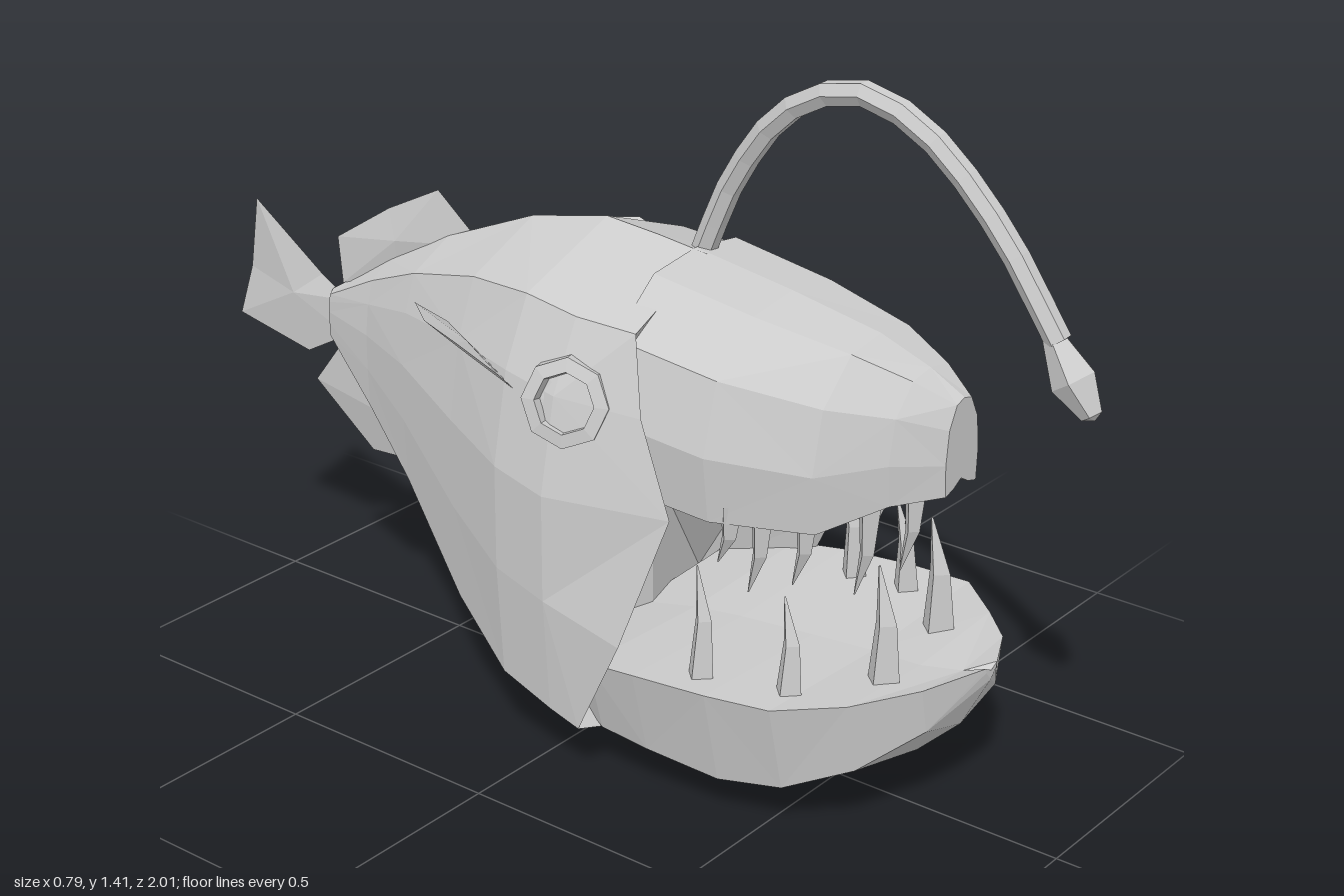
import * as THREE from 'three';

const mat = new THREE.MeshStandardMaterial({ color: 0xcccccc, flatShading: true, side: THREE.DoubleSide });
const V = (x, y, z) => new THREE.Vector3(x, y, z);

function meshFrom(name, tris) {
  const g = new THREE.BufferGeometry().setFromPoints(tris);
  g.computeVertexNormals();
  const m = new THREE.Mesh(g, mat);
  m.name = name;
  return m;
}

const centroid = (pts) => pts.reduce((s, p) => s.add(p), V(0, 0, 0)).divideScalar(pts.length);

// Skin rings running back to front, each counter-clockwise seen from +z
function loft(name, rings) {
  const tris = [], n = rings[0].length, last = rings[rings.length - 1];
  const back = centroid(rings[0]), front = centroid(last);
  for (let i = 0; i < n; i++) {
    const k = (i + 1) % n;
    for (let j = 0; j < rings.length - 1; j++) {
      const a = rings[j][i], b = rings[j][k], c = rings[j + 1][k], d = rings[j + 1][i];
      if ((i + j) % 2) tris.push(a, b, c, a, c, d);
      else tris.push(a, b, d, b, c, d);
    }
    tris.push(back, rings[0][k], rings[0][i], front, last[i], last[k]);
  }
  return meshFrom(name, tris);
}

// Mirror a half section (top centre to bottom centre) into a full ring
function fullRing(half, cx) {
  const right = half.slice(1, -1).reverse();
  const left = half.slice(1, -1).map((p) => V(-p.x, p.y, p.z));
  return [half[half.length - 1], ...right, half[0], ...left].map((p) => V(p.x + cx, p.y, p.z));
}

const sectionRing = (shape, [z, cx, hw, top, bot]) =>
  fullRing(shape.map(([fx, fy]) => V(fx * hw, bot + fy * (top - bot), z)), cx);

// Thin fin: outline fanned to a slightly raised middle on both faces
function fin(name, pts, bulge = 0.01) {
  const p = pts.map((q) => V(...q)), c = centroid(p), tris = [];
  const n = p[0].clone().sub(c).cross(p[2].clone().sub(c)).normalize().multiplyScalar(bulge);
  const up = c.clone().add(n), down = c.clone().sub(n);
  p.forEach((a, i) => {
    const b = p[(i + 1) % p.length];
    tris.push(up, a, b, down, b, a);
  });
  return meshFrom(name, tris);
}

// Four-sided tapered tooth with a slight backward bend
function tooth(name, base, tip, r) {
  const mid = base.clone().lerp(tip, 0.55).add(V(0, 0, 0.012));
  const curve = [base, mid, tip], tris = [];
  const rings = curve.map((c, j) => [0, 1, 2, 3].map((i) => {
    const a = i * Math.PI / 2, s = r * [1, 0.62, 0.06][j];
    return V(c.x + Math.cos(a) * s, c.y, c.z + Math.sin(a) * s);
  }));
  const flip = tip.y < base.y;
  for (let j = 0; j < 2; j++) for (let i = 0; i < 4; i++) {
    const k = (i + 1) % 4, a = rings[j][i], b = rings[j][k], c = rings[j + 1][k], d = rings[j + 1][i];
    if (flip) tris.push(a, b, c, a, c, d);
    else tris.push(a, c, b, a, d, c);
  }
  return meshFrom(name, tris);
}

const lathe = (name, profile, sides) => {
  const m = new THREE.Mesh(new THREE.LatheGeometry(profile.map(([r, y]) => new THREE.Vector2(r, y)), sides), mat);
  m.name = name;
  return m;
};

export function createModel() {
  const model = new THREE.Group();
  model.name = 'anglerFish';

  // Body, narrowing to the tail, with a hollow throat at the front
  const bodyShape = [[0, 1], [0.7, 0.905], [0.89, 0.76], [1, 0.56], [1, 0.33], [0.95, 0.08], [0, 0]];
  const bodyRings = [
    [-0.74, -0.1, 0.015, 0.76, 0.65],
    [-0.6, -0.075, 0.075, 0.85, 0.52],
    [-0.45, -0.055, 0.15, 0.93, 0.4],
    [-0.25, -0.025, 0.255, 1.01, 0.2],
    [-0.08, 0, 0.345, 1.04, 0.1],
    [0.05, 0, 0.36, 1.03, 0.065],
  ].map((s) => sectionRing(bodyShape, s));
  const rim = [
    V(0, 1.015, 0.16), V(0.24, 0.93, 0.18), V(0.275, 0.78, 0.22),
    V(0.29, 0.6, 0.3), V(0.345, 0.33, 0.22), V(0.345, 0.12, 0.12), V(0, 0.035, 0.2),
  ];
  const shrink = (sx, sy, dz) => rim.map((p) => V(p.x * sx, 0.47 + (p.y - 0.47) * sy, p.z - dz));
  bodyRings.push(fullRing(rim, 0.005), fullRing(shrink(0.92, 0.93, 0.02), 0.005), fullRing(shrink(0.75, 0.8, 0.17), 0.005));
  model.add(loft('body', bodyRings));

  // Upper jaw and snout
  const headShape = [[0, 1], [0.45, 0.96], [0.86, 0.72], [1, 0.35], [0.94, 0], [0.45, 0.04], [0, 0.12]];
  model.add(loft('upperJaw', [
    [0.13, 0.01, 0.285, 1.02, 0.62],
    [0.35, 0.025, 0.275, 0.98, 0.595],
    [0.53, 0.055, 0.21, 0.93, 0.588],
    [0.63, 0.075, 0.13, 0.88, 0.64],
    [0.7, 0.085, 0.055, 0.835, 0.65],
  ].map((s) => sectionRing(headShape, s))));

  // Lower jaw, rooted inside the body: rim, shallow floor, bevelled sides and keel
  model.add(loft('lowerJaw', [
    [0.0, -0.3, 0.3, 0.24, 0.18, 0.13],
    [0.14, -0.335, 0.345, 0.27, 0.11, 0.05],
    [0.25, -0.335, 0.365, 0.28, 0.1, 0.025],
    [0.41, -0.32, 0.385, 0.285, 0.085, 0.005],
    [0.54, -0.29, 0.392, 0.285, 0.1, 0.04],
    [0.66, -0.21, 0.28, 0.3, 0.15, 0.1],
    [0.74, -0.08, 0.2, 0.305, 0.21, 0.175],
    [0.79, 0.06, 0.1, 0.31, 0.3, 0.28],
  ].map(([z, l, r, y, mid, keel]) => {
    const c = (l + r) / 2;
    return [V(r, y, z), V(c, y - 0.015, z), V(l, y, z),
      V(c + (l - c) * 0.87, mid, z), V(c, keel, z), V(c + (r - c) * 0.87, mid, z)];
  })));

  // Teeth: x, z, tip height, radius
  [[-0.2, 0.52, 0.47, 0.03], [-0.06, 0.64, 0.52, 0.038], [0.19, 0.6, 0.52, 0.038], [0.3, 0.45, 0.48, 0.03],
    [-0.25, 0.35, 0.5, 0.03], [0.29, 0.33, 0.49, 0.03]]
    .forEach(([x, z, y, r]) => model.add(tooth('lowerTooth', V(x, 0.27, z), V(x * 0.95, y, z - 0.02), r)));
  [[-0.2, 0.38, 0.5], [-0.17, 0.43, 0.44], [-0.125, 0.5, 0.46], [-0.02, 0.57, 0.42], [0.12, 0.58, 0.42],
    [0.21, 0.53, 0.47], [0.25, 0.44, 0.44], [0.27, 0.36, 0.49]]
    .forEach(([x, z, y]) => model.add(tooth('upperTooth', V(x, 0.63, z), V(x, y, z - 0.03), 0.026)));

  // Eyes: eight-sided flat rim around a recessed disc
  for (const s of [1, -1]) {
    const eye = new THREE.Group();
    eye.name = s > 0 ? 'leftEye' : 'rightEye';
    const socket = lathe('eyeSocket', [[0.092, -0.04], [0.088, 0.005], [0.06, 0.01], [0.056, -0.012], [0, -0.006]].reverse(), 8);
    socket.rotation.x = Math.PI / 2;
    eye.add(socket);
    eye.position.set(s * 0.315, 0.79, 0.075);
    eye.lookAt(s * 1.215, 1.0, 0.4);
    model.add(eye);
  }

  // Pectoral fins rising outward, the right one set a little further forward
  const pectoral = [[0.27, 0.77, -0.13], [0.31, 0.81, -0.13], [0.35, 0.87, -0.2], [0.35, 0.896, -0.28],
    [0.29, 0.896, -0.36], [0.22, 0.84, -0.34], [0.2, 0.77, -0.25]];
  model.add(fin('leftPectoralFin', pectoral));
  model.add(fin('rightPectoralFin', pectoral.map(([x, y, z]) => [-x - 0.045, y + 0.015, z + 0.075])));

  // Dorsal, tail and anal fins
  model.add(fin('dorsalFin', [[-0.04, 0.92, -0.37], [-0.05, 1.02, -0.48], [-0.07, 0.96, -0.6],
    [-0.1, 0.88, -0.72], [-0.1, 0.78, -0.71], [-0.07, 0.82, -0.58]]));
  model.add(fin('tailFin', [[-0.095, 0.74, -0.7], [-0.09, 0.78, -0.78], [-0.115, 0.92, -0.94],
    [-0.11, 0.76, -0.97], [-0.12, 0.65, -1], [-0.1, 0.6, -0.82], [-0.095, 0.66, -0.71]]));
  model.add(fin('analFin', [[-0.06, 0.41, -0.44], [-0.07, 0.4, -0.67], [-0.1, 0.54, -0.8],
    [-0.1, 0.63, -0.73], [-0.08, 0.56, -0.58]]));

  // Lure: curved stalk with a faceted, pointed bulb
  const path = new THREE.CatmullRomCurve3([V(0.04, 0.99, 0.12), V(0.04, 1.17, 0.2), V(0.03, 1.33, 0.33),
    V(0.028, 1.392, 0.48), V(0.03, 1.35, 0.62), V(0.04, 1.2, 0.78), V(0.05, 1.01, 0.91)]);
  const stalk = new THREE.Mesh(new THREE.TubeGeometry(path, 14, 0.025, 6), mat);
  stalk.name = 'lureStalk';
  const bulb = lathe('lureBulb', [[0, -0.085], [0.022, -0.075], [0.046, -0.005], [0.022, 0.08], [0, 0.085]], 5);
  bulb.position.set(0.05, 0.95, 0.945);
  bulb.rotation.x = -0.6;
  model.add(stalk, bulb);

  return model;
}
